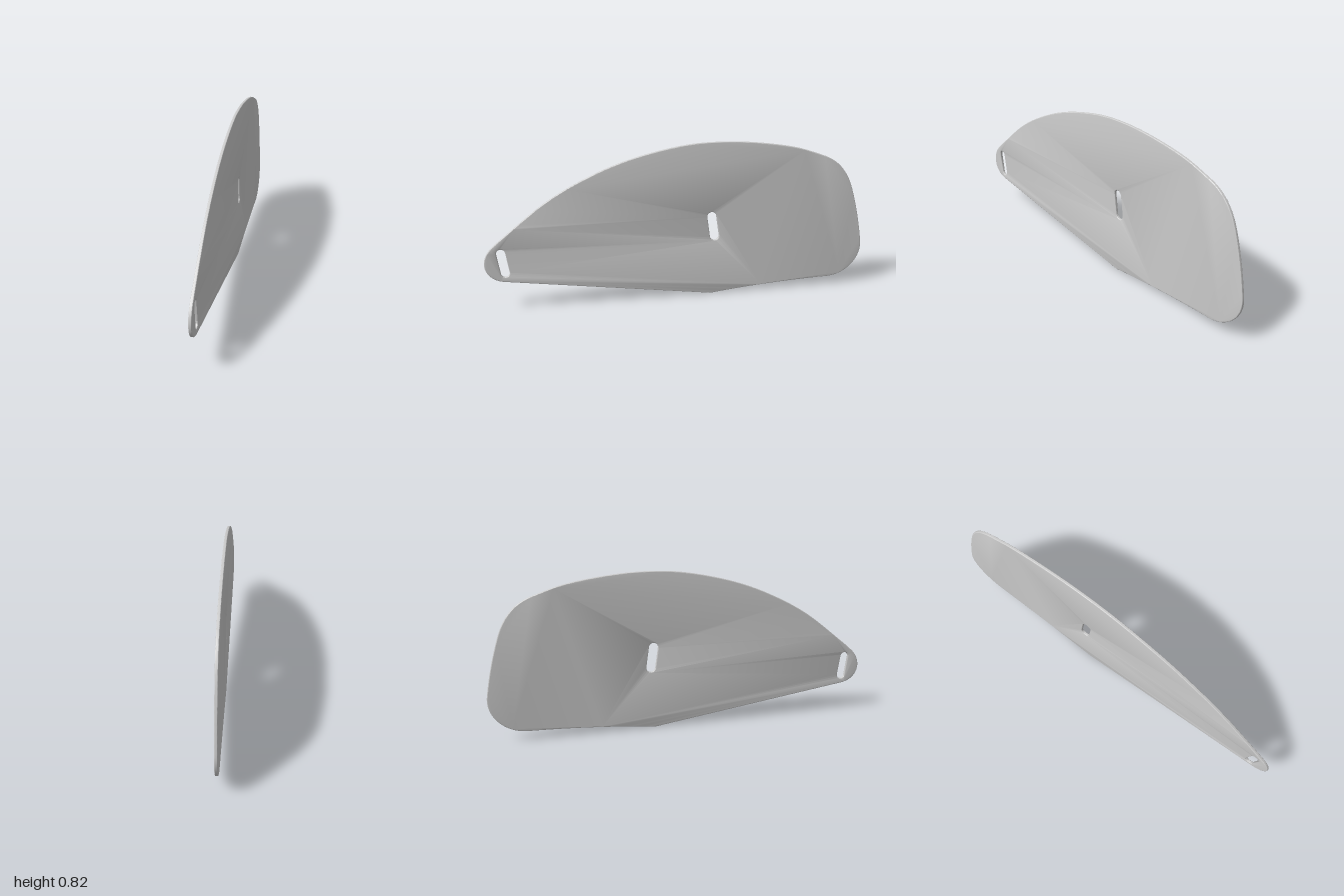
import * as THREE from 'three';
import { toCreasedNormals } from 'three/addons/utils/BufferGeometryUtils.js';

const X_MIN = -0.0085, X_MAX = 0.0062; // the two faces of the plate
const BEVEL = 0.004;

// Slot with round ends between two centres.
function slot(ax, ay, bx, by, r) {
  const a = Math.atan2(by - ay, bx - ax);
  const path = new THREE.Path();
  path.absarc(bx, by, r, a - Math.PI / 2, a + Math.PI / 2, false);
  path.absarc(ax, ay, r, a + Math.PI / 2, a + Math.PI * 1.5, false);
  path.closePath();
  return path;
}

// Side profile: horizontal axis runs from front (-1) to back (+1).
function plateShape() {
  const s = new THREE.Shape();
  s.moveTo(0.12, 0.009);
  s.quadraticCurveTo(0.155, 0, 0.19, 0.007);             // bottom point
  s.quadraticCurveTo(0.5, 0.042, 0.81, 0.048);           // rear lower edge
  s.bezierCurveTo(0.92, 0.048, 1.015, 0.14, 0.999, 0.245); // lower rear corner
  s.quadraticCurveTo(0.976, 0.4, 0.931, 0.54);           // rear edge
  s.bezierCurveTo(0.9, 0.635, 0.85, 0.692, 0.775, 0.724); // upper rear corner
  s.splineThru([[0.61, 0.778], [0.4, 0.812], [0.2, 0.824], [0, 0.811], [-0.246, 0.757],
    [-0.46, 0.677], [-0.675, 0.56], [-0.89, 0.393], [-0.955, 0.338]]
    .map(([x, y]) => new THREE.Vector2(x, y)));          // long curved top
  s.bezierCurveTo(-1.03, 0.27, -1.005, 0.168, -0.905, 0.153); // front nose
  s.closePath();                                         // straight front lower edge
  s.holes.push(slot(-0.914, 0.304, -0.898, 0.2, 0.022));
  s.holes.push(slot(0.164, 0.432, 0.179, 0.327, 0.024));
  return s;
}

export function createModel() {
  const group = new THREE.Group();
  group.name = 'slottedPlate';

  const flat = new THREE.ExtrudeGeometry(plateShape(), {
    depth: X_MAX - X_MIN - 2 * BEVEL, curveSegments: 20,
    bevelEnabled: true, bevelThickness: BEVEL, bevelSize: BEVEL, bevelOffset: -BEVEL, bevelSegments: 3,
  });
  flat.translate(0, 0, X_MIN + BEVEL);
  flat.rotateY(Math.PI / 2);

  // Smooth rounded rim, with the two broad faces kept perfectly flat.
  const geometry = toCreasedNormals(flat, 0.7);
  const before = flat.attributes.normal, after = geometry.attributes.normal;
  for (let i = 0; i < before.count; i++) {
    if (Math.abs(before.getX(i)) > 0.999) after.setXYZ(i, Math.sign(before.getX(i)), 0, 0);
  }

  const plate = new THREE.Mesh(geometry, new THREE.MeshStandardMaterial({ color: 0xcccccc }));
  plate.name = 'plate';
  group.add(plate);
  return group;
}
